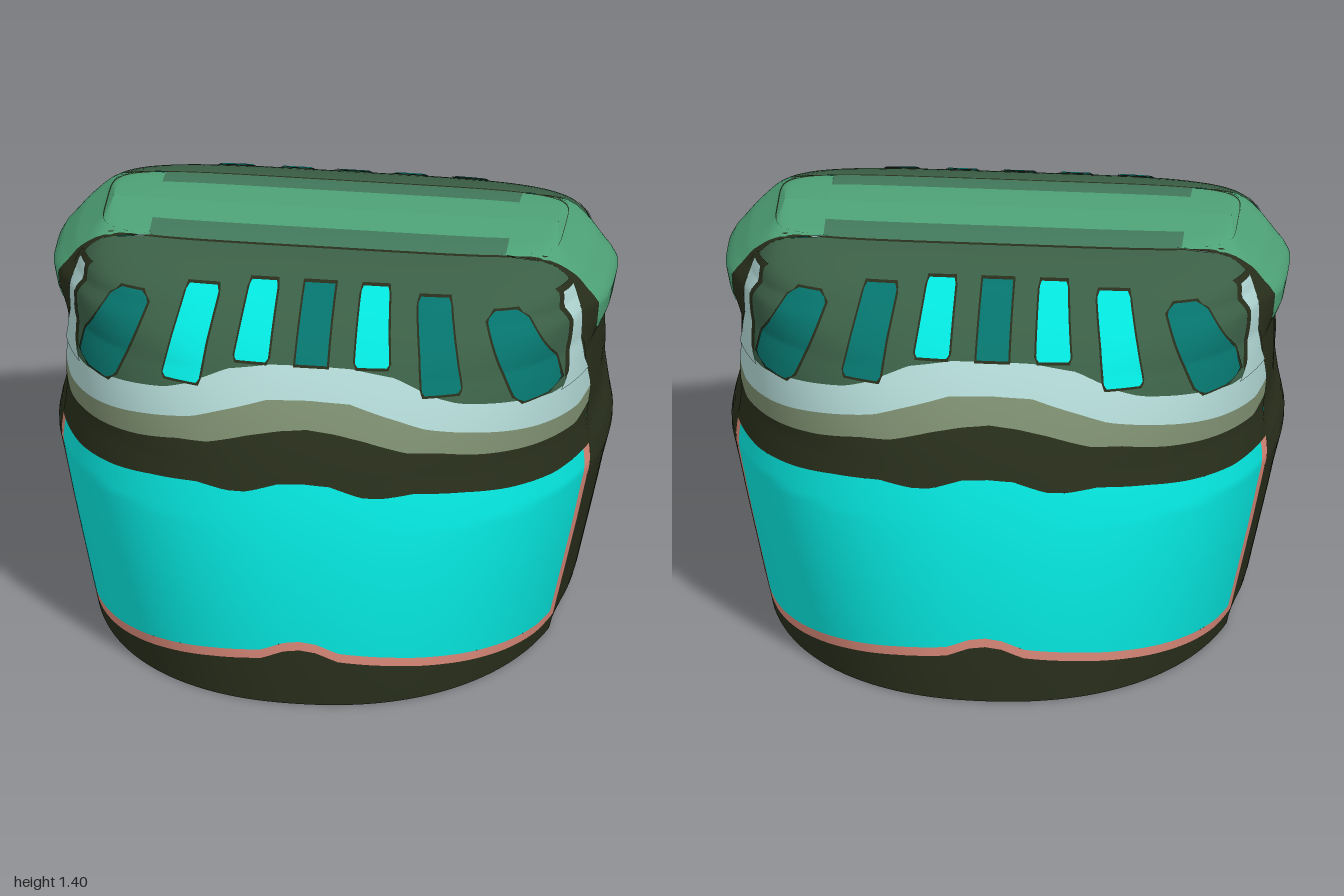
import * as THREE from 'three';
import { mergeGeometries } from 'three/addons/utils/BufferGeometryUtils.js';

const H = 1.4, P = 2.4;

const mat = (name, color) => {
  const m = new THREE.MeshStandardMaterial({ color, side: THREE.DoubleSide });
  m.name = name;
  return m;
};

// piecewise linear curve through [key, value] points
const curve = (pts) => (k) => {
  if (k <= pts[0][0]) return pts[0][1];
  for (let i = 1; i < pts.length; i++) {
    const [a, va] = pts[i - 1], [b, vb] = pts[i];
    if (k <= b) return va + (vb - va) * (k - a) / (b - a);
  }
  return pts[pts.length - 1][1];
};

// shell profile by height: half width, half depth, half strap depth, squareness, seam bulge
const halfX = curve([[0, 0.812], [0.08, 0.83], [0.4, 0.9], [0.62, 0.945], [0.7, 0.935], [0.78, 0.925], [1.05, 0.918],
  [1.2, 0.908], [1.3, 0.855], [1.37, 0.8], [1.4, 0.77]]);
const halfZ = (y) => Math.pow(Math.max(0, 1 - Math.pow(Math.max(0, y) / H, P)), 1 / P);
const heightAt = (z) => H * Math.pow(1 - Math.pow(z, P), 1 / P);
const strapCurve = curve([[0, 0.33], [0.1, 0.325], [0.58, 0.29], [0.66, 0.268], [0.78, 0.255], [0.88, 0.2],
  [0.95, 0.225], [1.02, 0.255], [1.2, 0.255], [1.3, 0.235], [1.37, 0.24]]);
const strapZ = (y) => Math.min(strapCurve(y), 0.95 * halfZ(y));
const power = curve([[0, 2.2], [0.8, 2.2], [1.1, 2.45], [1.25, 3.2], [1.35, 5], [1.4, 6]]);
const bulge = curve([[0, -0.045], [0.03, -0.015], [0.07, 0], [0.5, 0], [0.6, 0.004], [0.68, 0], [0.74, -0.018],
  [0.85, -0.012], [1.04, -0.006], [1.12, 0.035], [1.2, 0.055], [1.23, 0.055], [1.3, 0.03], [1.37, 0]]);

// superellipse section
const other = (a, n) => Math.pow(Math.max(0, 1 - Math.pow(Math.abs(a), n)), 1 / n);
const xAt = (z, y) => halfX(y) * other(Math.min(1, z / Math.max(halfZ(y), 1e-6)), power(y));
// half width where the front face meets the strap
const edgeX = (y) => (halfZ(y) > 1e-5 ? xAt(strapZ(y), y) : halfX(y) * other(0.95, power(y)));

// point on one quarter: t = 0..1 runs along the front face, 1..2 across the strap to the side seam
function point(t, y) {
  if (t <= 1) {
    const x = edgeX(y) * t;
    return new THREE.Vector3(x, y, halfZ(y) * other(x / halfX(y), power(y)));
  }
  const q = 2 - t, z = strapZ(y) * q;
  return new THREE.Vector3(xAt(z, y) + bulge(y) * (1 - Math.pow(q, 4)), y, z);
}

function normal(t, y) {
  const e = 0.01, yc = Math.min(y, H - 0.001);
  const t1 = Math.min(t + e, 2);
  const dt = point(t1, yc).sub(point(t1 - 2 * e, yc));
  const y1 = Math.min(yc + e, H - 0.0002), y0 = Math.max(yc - e, 0);
  return dt.cross(point(t, y1).sub(point(t, y0))).normalize();
}

// t for a given x or z at height y
const tFromX = (x, y) => Math.min(1, x / edgeX(y));
const tFromZ = (z, y) => (z <= strapZ(y) ? 2 - z / strapZ(y) : xAt(z, y) / edgeX(y));

// grid on the shell; f(u, v) gives [t, y]
function grid(f, nu, nv, off, sx, sz) {
  const pos = [], nor = [], idx = [];
  for (let j = 0; j <= nv; j++) for (let i = 0; i <= nu; i++) {
    const [t, y] = f(i / nu, j / nv);
    const n = normal(t, y), p = point(t, y).addScaledVector(n, off);
    pos.push(p.x * sx, p.y, p.z * sz);
    nor.push(n.x * sx, n.y, n.z * sz);
  }
  for (let j = 0; j < nv; j++) for (let i = 0; i < nu; i++) {
    const a = j * (nu + 1) + i, b = a + 1, d = a + nu + 1, c = d + 1;
    if (sx * sz > 0) idx.push(a, b, c, a, c, d);
    else idx.push(a, c, b, a, d, c);
  }
  const g = new THREE.BufferGeometry();
  g.setAttribute('position', new THREE.Float32BufferAttribute(pos, 3));
  g.setAttribute('normal', new THREE.Float32BufferAttribute(nor, 3));
  g.setIndex(idx);
  return g;
}

export function createModel() {
  const group = new THREE.Group();
  const cyan = mat('brightCyan', 0x04e5dd), teal = mat('darkTeal', 0x06746d), pink = mat('coralPink', 0xda8979);
  const olive = mat('darkOlive', 0x282e1b), khaki = mat('khaki', 0x7a8b6d), pale = mat('paleBlue', 0xaed4d1);
  const forest = mat('forestGreen', 0x3b5f46), green = mat('leafGreen', 0x4ea277), moss = mat('mossGreen', 0x42785b);

  const add = (name, material, f, nu, nv, offsets = [0], sides = [1, -1]) => {
    const parts = [];
    for (const off of offsets) for (const sx of sides) for (const sz of [1, -1]) parts.push(grid(f, nu, nv, off, sx, sz));
    const mesh = new THREE.Mesh(mergeGeometries(parts), material);
    mesh.name = name;
    group.add(mesh);
  };

  // band of the shell between two height curves, with columns closer together towards the side
  const arc = (y) => Math.asin(Math.min(1, y / H));
  const band = (name, material, t0, t1, lo, hi, nv = 8) => {
    const L = typeof lo === 'number' ? () => lo : lo, U = typeof hi === 'number' ? () => hi : hi;
    add(name, material, (u, v) => {
      const t = t0 + (t1 - t0) * Math.sin(u * Math.PI / 2);
      const a = arc(L(t)), b = arc(U(t));
      return [t, v === 0 ? L(t) : v === 1 ? U(t) : H * Math.sin(a + (b - a) * v)];
    }, Math.max(4, Math.round((t1 - t0) * 48)), nv);
  };

  const pinkLow = curve([[0, 0.205], [0.07, 0.197], [0.16, 0.165], [0.38, 0.14], [0.6, 0.11], [0.76, 0.085], [0.95, 0.052], [1, 0.055]]);
  const cyanLow = (t) => pinkLow(t) + 0.032;
  const cyanTop = curve([[0, 0.79], [0.1, 0.785], [0.22, 0.75], [0.3, 0.745], [0.42, 0.755], [0.6, 0.735], [0.75, 0.71], [0.9, 0.69], [1, 0.69]]);
  const khakiLow = curve([[0, 0.96], [0.11, 0.95], [0.22, 0.93], [0.38, 0.89], [0.5, 0.88], [0.66, 0.85], [0.82, 0.825], [0.97, 0.805], [1, 0.835]]);
  const paleLow = curve([[0, 1.045], [0.16, 1.04], [0.35, 0.99], [0.45, 0.96], [0.65, 0.925], [0.85, 0.885], [0.97, 0.865], [1, 0.885]]);
  const paleTop = curve([[0, 1.14], [0.16, 1.137], [0.33, 1.115], [0.5, 1.05], [0.57, 1.03], [0.77, 1], [0.9, 0.975], [1, 0.98]]);

  // lower shell
  const IN = 0.986;
  band('hem', olive, 0, 1, 0, pinkLow, 4);
  band('lowerTrim', pink, 0, 1, pinkLow, cyanLow, 2);
  band('mainPanel', cyan, 0, IN, cyanLow, cyanTop, 20);
  band('sideTrim', pink, IN, 1, cyanLow, cyanTop, 20);
  band('middleBand', olive, 0, 1, cyanTop, khakiLow, 6);

  // upper shell
  const crestLow = heightAt(0.245), crestMid = heightAt(0.14);
  band('khakiBand', khaki, 0, 1, khakiLow, paleLow, 4);
  band('paleBand', pale, 0, 1, paleLow, paleTop, 5);
  band('upperPanel', forest, 0, 1, paleTop, heightAt(0.256), 18);
  band('crestLine', olive, 0, 1, heightAt(0.256), crestLow, 1);
  band('crestFlank', moss, 0, 1, crestLow, crestMid, 4);
  band('crest', green, 0, 1, crestMid, H, 8);
  band('sideStrap', olive, 1, 2, 0, crestLow, 60);
  band('crestCorner', green, 1, 2, crestLow, H, 10);

  // thin plates lying on the shell; rows are [y, first, second]
  const plate = (name, material, rows, toT, offsets, sides, grow = 0) => {
    const y0 = rows[0][0] - grow, y1 = rows[rows.length - 1][0] + grow;
    const A = curve(rows.map((r) => [r[0], r[1]])), B = curve(rows.map((r) => [r[0], r[2]]));
    add(name, material, (u, v) => {
      const y = y0 + (y1 - y0) * v;
      const a = A(y), b = B(y), g = grow * Math.sign(b - a);
      return [toT(a - g + (b - a + 2 * g) * u, y), y];
    }, 12, 20, offsets, sides);
  };

  // windows with dark outlines, seen on both faces of the shell
  const inner = [[1.14, 0.16, 0.26], [1.15, 0.15, 0.268], [1.315, 0.145, 0.242], [1.325, 0.15, 0.235]];
  const middle = [[1.06, 0.395, 0.505], [1.07, 0.385, 0.515], [1.18, 0.37, 0.49], [1.3, 0.345, 0.457], [1.31, 0.352, 0.448]];
  const outer = [[0.99, 0.72, 0.79], [1.01, 0.69, 0.83], [1.1, 0.65, 0.81], [1.2, 0.61, 0.755], [1.26, 0.585, 0.715], [1.28, 0.61, 0.68]];
  const windows = [
    ['centreWindow', [[1.14, 0, 0.055], [1.325, 0, 0.052]], teal, teal],
    ['innerWindow', inner, cyan, cyan],
    ['middleWindow', middle, teal, cyan],
    ['outerWindow', outer, teal, teal],
  ];
  for (const [name, rows, leftMat, rightMat] of windows) {
    const rim = name === 'centreWindow' ? rows.map(([y, a, b]) => [y, a + 0.007, b]) : rows;
    plate(name + 'Rim', olive, rim, tFromX, [0.003, -0.003], [1, -1], 0.007);
    plate(name + 'Left', leftMat, rows, tFromX, [0.006, -0.006], [1]);
    plate(name + 'Right', rightMat, rows, tFromX, [0.006, -0.006], [-1]);
  }

  // side details: pale hooks with a dark surround, and end caps of the crest
  const hook = [[0.97, 0.42, 0.235], [1.02, 0.37, 0.262], [1.1, 0.345, 0.272],
    [1.2, 0.325, 0.268], [1.25, 0.33, 0.245], [1.29, 0.305, 0.24]];
  plate('hookSurround', olive, hook.slice(1), tFromZ, [0.003, -0.003], [1, -1], 0.018);
  plate('sideHook', pale, hook, tFromZ, [0.006, -0.006]);
  plate('crestEnd', green, [[1.08, 0.15, 0], [1.11, 0.19, 0], [1.3, 0.205, 0], [crestLow, 0.235, 0]], tFromZ, [0.003]);

  return group;
}
